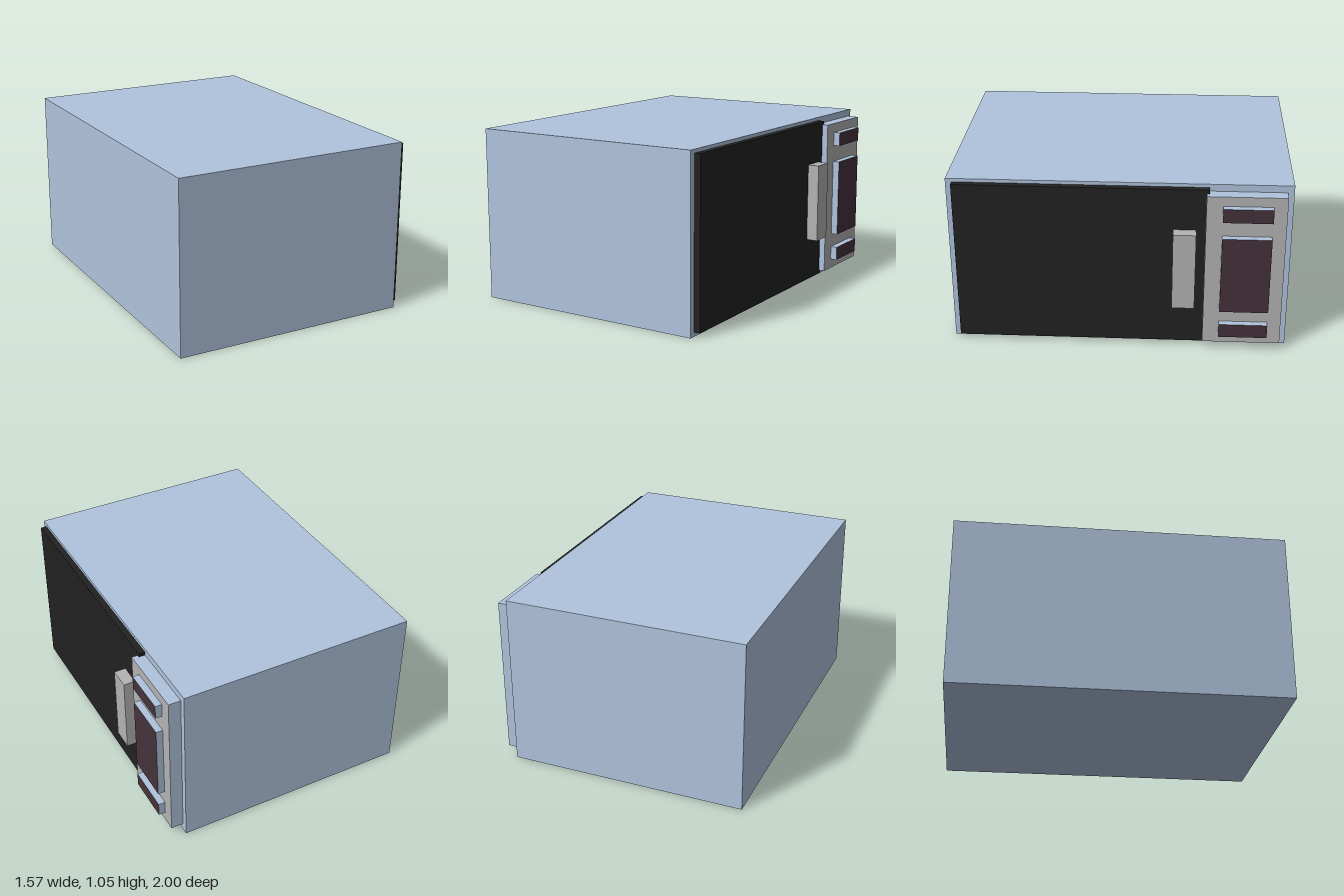
import * as THREE from 'three';

const paint = (color) => new THREE.MeshStandardMaterial({ color });

export function createModel() {
  const group = new THREE.Group();
  const casing = paint(0xb0c4de);
  const black = paint(0x222222);
  const silver = paint(0xb4b4b4);
  const plum = paint(0x45323c);

  // Box from its limits on each axis; faceMat, if given, covers only the +x face
  function block(name, [x0, x1], [y0, y1], [z0, z1], mat, faceMat) {
    const geo = new THREE.BoxGeometry(x1 - x0, y1 - y0, z1 - z0);
    const mats = faceMat ? [faceMat, mat, mat, mat, mat, mat] : mat;
    const mesh = new THREE.Mesh(geo, mats);
    mesh.name = name;
    mesh.position.set((x0 + x1) / 2, (y0 + y1) / 2, (z0 + z1) / 2);
    group.add(mesh);
  }

  // Oven casing
  block('body', [-0.783, 0.667], [0, 1.046], [-1, 1], casing);

  // Door and its handle
  block('door', [0.667, 0.705], [0.025, 1.025], [-0.52, 0.963], black);
  block('doorHandle', [0.705, 0.776], [0.29, 0.771], [-0.448, -0.315], silver);

  // Control panel with display, keypad and lower button
  block('controlPanel', [0.667, 0.742], [0.045, 1.003], [-0.962, -0.502], casing, silver);
  const keys = { display: [0.86, 0.945], keypad: [0.276, 0.756], openButton: [0.104, 0.189] };
  for (const [name, height] of Object.entries(keys)) {
    block(name, [0.742, 0.783], height, [-0.882, -0.596], casing, plum);
  }

  return group;
}
